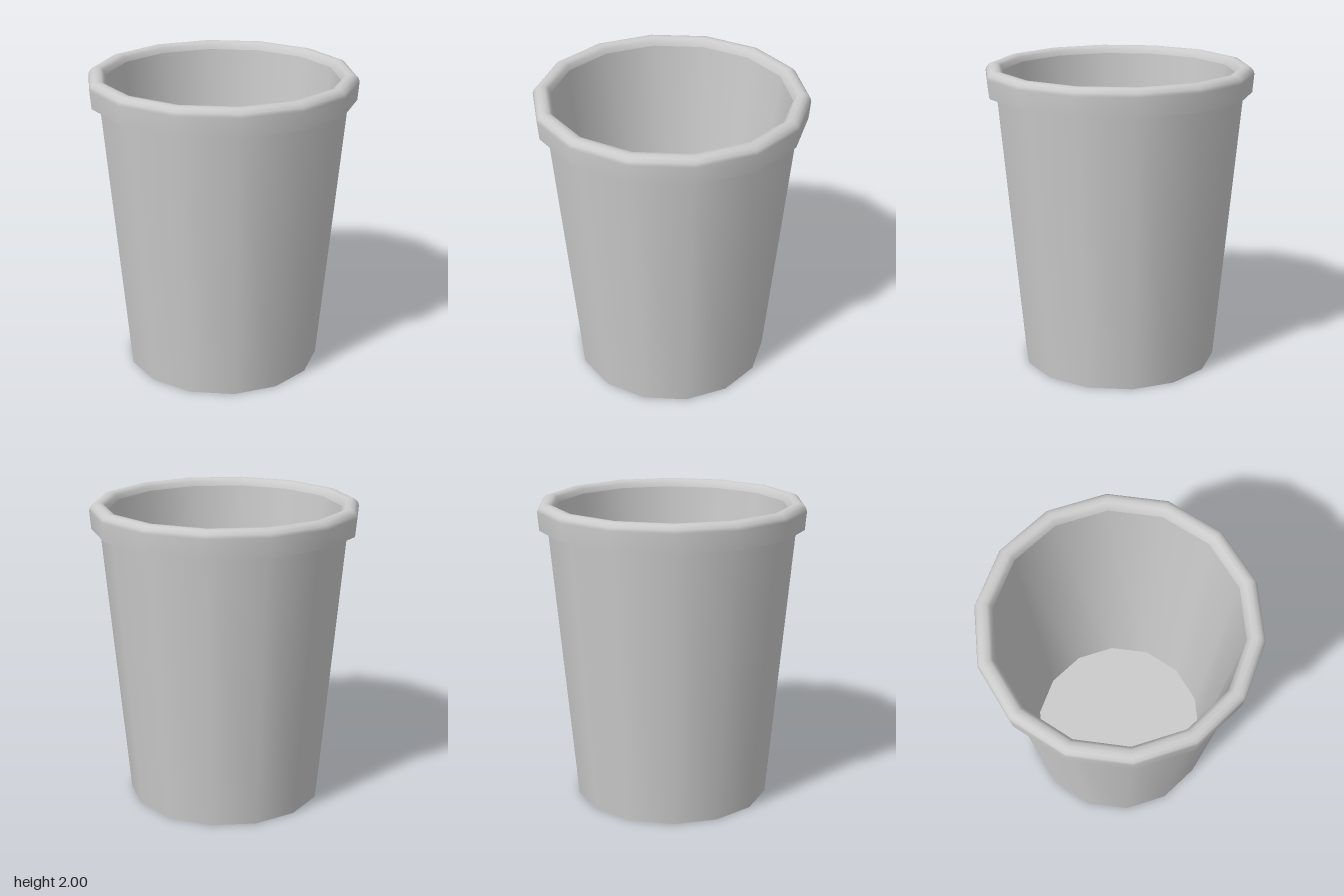
import * as THREE from 'three';

const SIDES = 14;

// Revolve a profile; a vertex of the 14-gon lies on the x axis.
function turned(name, profile, material) {
  const points = profile.map(([r, y]) => new THREE.Vector2(r, y));
  const mesh = new THREE.Mesh(new THREE.LatheGeometry(points, SIDES, Math.PI / 2), material);
  mesh.name = name;
  return mesh;
}

export function createModel() {
  const group = new THREE.Group();
  group.name = 'bin';
  const material = new THREE.MeshStandardMaterial({ color: 0xcccccc });

  // Separate profiles keep the edges between parts sharp.
  const parts = {
    base: [[0, 0], [0.65, 0]],
    outerWall: [[0.65, 0], [0.81, 1.83]],
    rimUnderside: [[0.81, 1.83], [0.865, 1.83]],
    // Rolled lip, from the outer skirt over the top to the inside
    rim: [[0.865, 1.83], [0.875, 1.95], [0.868, 1.972], [0.85, 1.992], [0.825, 2],
      [0.795, 1.997], [0.775, 1.98], [0.763, 1.95]],
    innerWall: [[0.763, 1.95], [0.6, 0.05]],
    floor: [[0.6, 0.05], [0, 0.05]],
  };
  for (const [name, profile] of Object.entries(parts)) {
    group.add(turned(name, profile, material));
  }
  return group;
}
